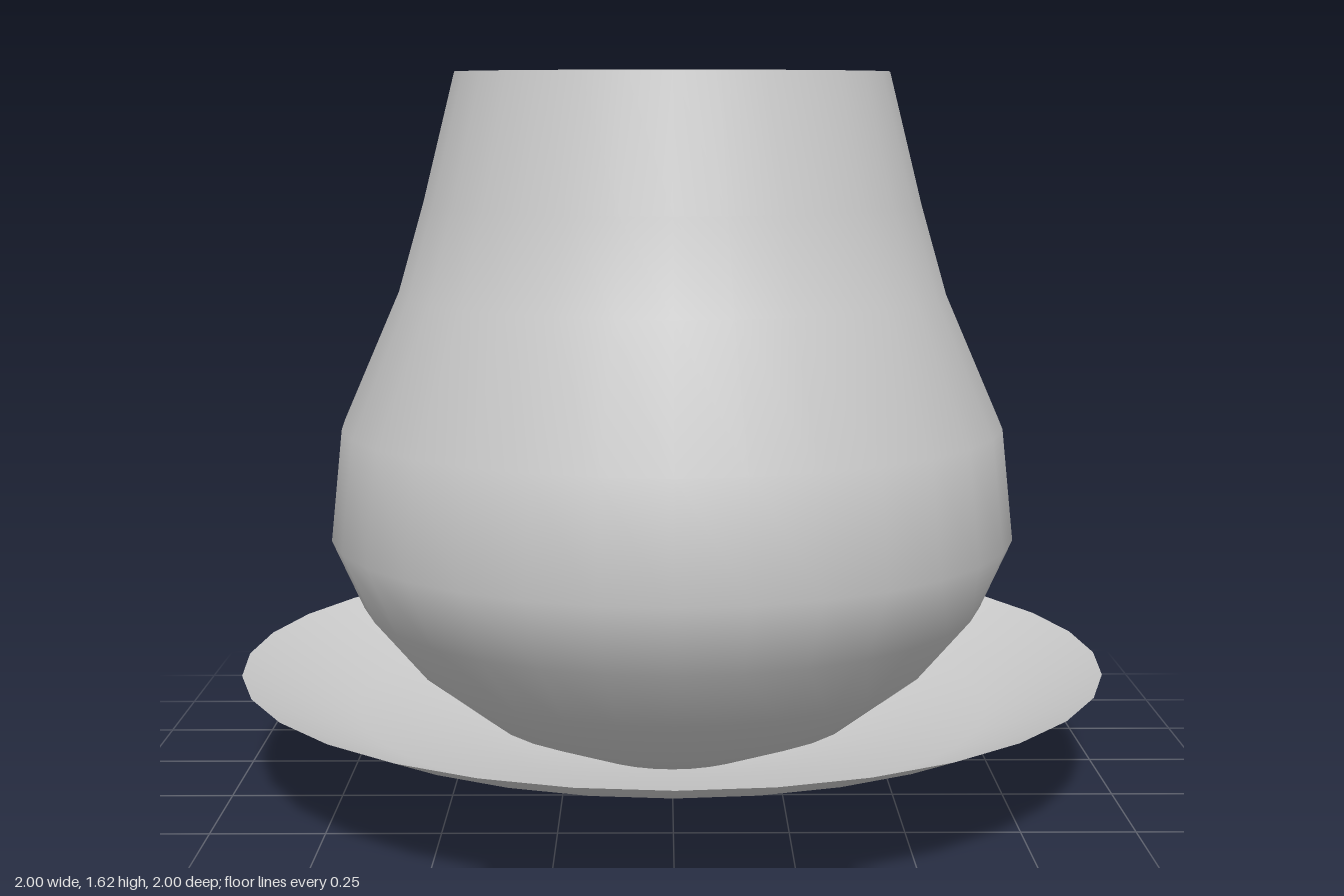
import * as THREE from 'three';

const SEGMENTS = 32;

// Thin open shell revolved about the vertical axis
function shell(name, profile, material) {
  const points = profile.map(([r, y]) => new THREE.Vector2(r, y));
  const mesh = new THREE.Mesh(new THREE.LatheGeometry(points, SEGMENTS), material);
  mesh.name = name;
  return mesh;
}

export function createModel() {
  const group = new THREE.Group();
  group.name = 'cupAndSaucer';
  const material = new THREE.MeshStandardMaterial({ color: 0xcccccc, side: THREE.DoubleSide });

  // Shallow dish
  group.add(shell('saucer', [
    [0, 0], [0.1, 0.01], [0.35, 0.06], [0.59, 0.125],
    [0.74, 0.16], [0.87, 0.205], [1, 0.265],
  ], material));

  // Rounded bowl narrowing to an open mouth
  group.add(shell('cup', [
    [0, 0.025], [0.22, 0.05], [0.44, 0.14], [0.6, 0.265], [0.72, 0.41], [0.79, 0.57],
    [0.762, 0.825], [0.63, 1.125], [0.57, 1.33], [0.495, 1.625],
  ], material));

  return group;
}
